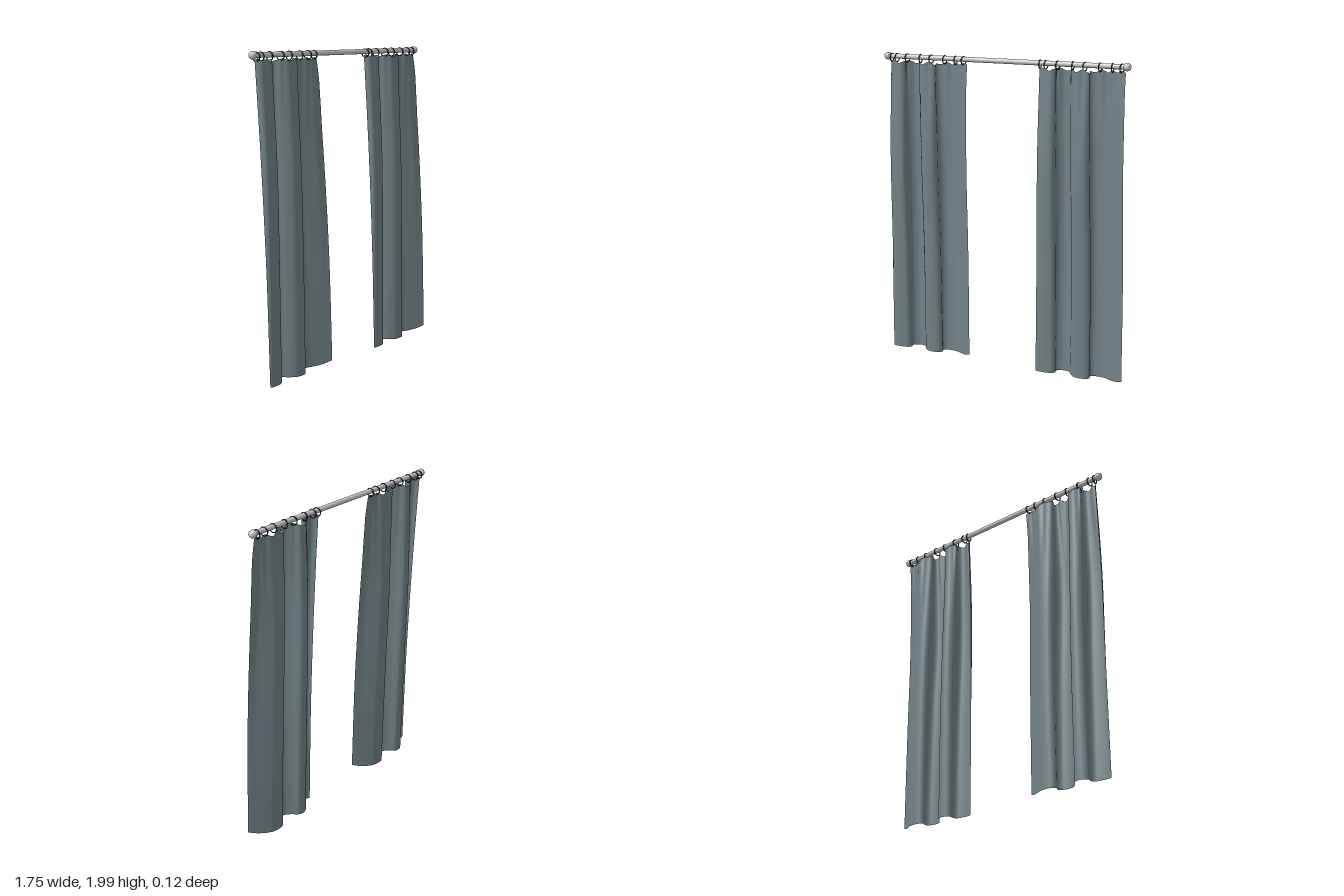
import * as THREE from 'three';

const ROD_Y = 1.975, ROD_Z = -0.018, PANEL_STEP = 1.08;
const RINGS = [-0.82, -0.78, -0.7, -0.6, -0.52, -0.42, -0.34, -0.28];

// Plan outline (x, z) of the folded cloth
const FOLDS = [
  [-0.82, 0.01], [-0.805, 0.042], [-0.76, 0.052], [-0.715, 0.045], [-0.698, 0.015], [-0.705, -0.03], [-0.67, -0.058],
  [-0.625, -0.05], [-0.597, 0], [-0.565, 0.04], [-0.525, 0.05], [-0.485, 0.04], [-0.467, 0.01], [-0.48, -0.03],
  [-0.45, -0.058], [-0.385, -0.055], [-0.335, -0.025], [-0.285, 0.008], [-0.241, 0.025],
];

// How the folds change with height: depth, z offset, x drift of the two edges, forward swing of the edges
const LEVELS = [
  { y: 1.945, depth: 0.48, z: -0.012, left: -0.005, right: -0.014, swing: -0.018 },
  { y: 1.35, depth: 1, z: 0, left: 0, right: 0, swing: 0 },
  { y: 0.7, depth: 0.92, z: 0.005, left: 0.01, right: 0.024, swing: 0.02 },
  { y: 0.01, depth: 0.78, z: 0.012, left: 0.016, right: 0.035, swing: 0.03 },
];

function curtainGeometry() {
  const cols = 120, rows = 60;
  const outline = new THREE.CatmullRomCurve3(FOLDS.map(([x, z]) => new THREE.Vector3(x, 0, z)), false, 'catmullrom', 0.5);
  const geo = new THREE.PlaneGeometry(1, 1, cols, rows);
  const pos = geo.attributes.position;
  for (let c = 0; c <= cols; c++) {
    const u = c / cols;
    const base = outline.getPoint(u);
    const edge = Math.abs(2 * u - 1) ** 8;
    const fall = new THREE.CatmullRomCurve3(LEVELS.map((l) => new THREE.Vector3(
      base.x + THREE.MathUtils.lerp(l.left, l.right, u), l.y, base.z * l.depth + l.z + l.swing * edge,
    )), false, 'catmullrom', 0.5);
    for (let r = 0; r <= rows; r++) {
      const v = r / rows;
      const p = fall.getPoint(v);
      // gathers pinched at each ring, fading out downwards
      const gap = Math.min(...RINGS.map((x) => Math.abs(x - p.x)));
      const fade = Math.max(0, 1 - v * 4);
      p.z += 0.012 * fade * (1 - Math.exp(-((gap / 0.018) ** 2))) * THREE.MathUtils.clamp((p.z - ROD_Z) / 0.01, -1, 1);
      p.y += fade * (0.008 - Math.min(gap, 0.04) * 0.5);
      // hem lifts at the free corner
      p.y += Math.max(0, v * 4 - 3) * 0.03 * Math.max(0, (u - 0.85) / 0.15) ** 2;
      pos.setXYZ(r * (cols + 1) + c, p.x, p.y, p.z);
    }
  }
  geo.computeVertexNormals();
  return geo;
}

export function createModel() {
  const group = new THREE.Group();
  const metal = new THREE.MeshStandardMaterial({ color: 0xcccccc });
  const dark = new THREE.MeshStandardMaterial({ color: 0x2a2e30 });
  const cloth = new THREE.MeshStandardMaterial({ color: 0x728388, side: THREE.DoubleSide });

  const add = (parent, name, geo, mat, x = 0, y = 0, z = 0) => {
    const mesh = new THREE.Mesh(geo, mat);
    mesh.name = name;
    mesh.position.set(x, y, z);
    parent.add(mesh);
    return mesh;
  };

  // Rod with rounded end caps
  const rod = add(group, 'rod', new THREE.CylinderGeometry(0.016, 0.016, 1.67, 32), metal, -0.008, ROD_Y, ROD_Z);
  rod.rotation.z = Math.PI / 2;
  const capProfile = [[0, 0], [0.016, 0], [0.021, 0.003], [0.024, 0.01], [0.025, 0.018], [0.023, 0.027], [0.018, 0.035], [0.01, 0.039], [0, 0.04]]
    .map(([x, y]) => new THREE.Vector2(x, y));
  const capGeo = new THREE.LatheGeometry(capProfile, 32);
  for (const side of [-1, 1]) {
    const cap = add(group, side < 0 ? 'rightFinial' : 'leftFinial', capGeo, metal, -0.008 + side * 0.824, ROD_Y, ROD_Z);
    cap.rotation.z = -side * Math.PI / 2;
  }

  // Two matching panels, each hung from eight rings
  const panelGeo = curtainGeometry();
  const ringGeo = new THREE.TorusGeometry(0.026, 0.0035, 8, 28);
  ['rightCurtain', 'leftCurtain'].forEach((name, i) => {
    const panel = new THREE.Group();
    panel.name = name;
    panel.position.x = i * PANEL_STEP;
    group.add(panel);
    add(panel, 'curtainCloth', panelGeo, cloth);
    RINGS.forEach((x, k) => {
      const ring = add(panel, 'curtainRing', ringGeo, dark, x, ROD_Y - 0.009, ROD_Z);
      ring.rotation.y = Math.PI / 2 + 0.15 * Math.sin(k * 2.3 + 1);
    });
  });
  return group;
}
